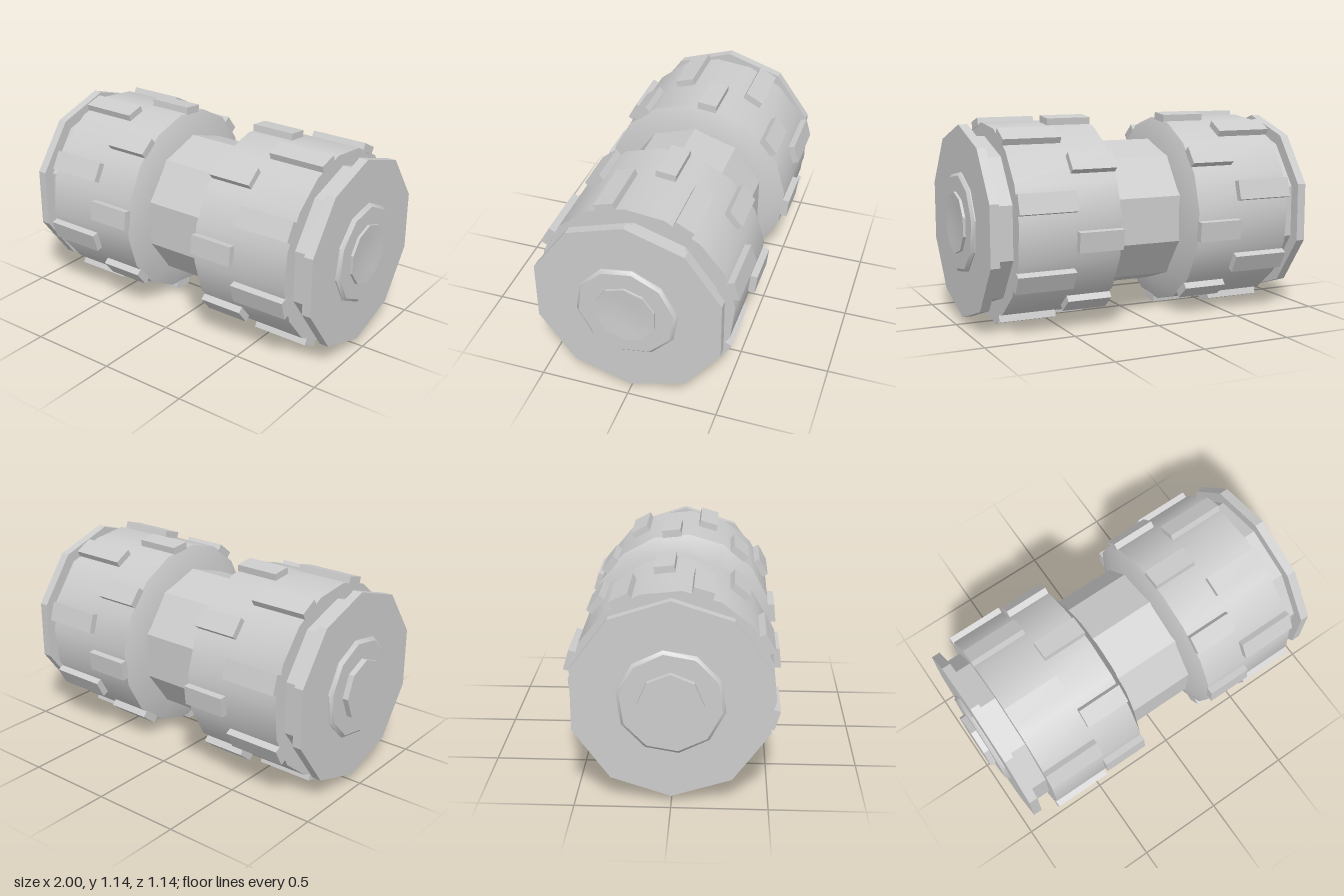
import * as THREE from 'three';
import { toCreasedNormals } from 'three/addons/utils/BufferGeometryUtils.js';

const AXIS_Y = 0.575;   // height of the roller's axis
const SHIFT = 0.008;    // small offset of the whole drum pair along x
const PADS = 16;
const PAD_ANGLE = THREE.MathUtils.degToRad(16.5);

export function createModel() {
  const model = new THREE.Group();
  const material = new THREE.MeshStandardMaterial({ color: 0xcccccc });

  // Solid of revolution about x; profile is [radius, x] pairs going outwards,
  // angle is the direction of the first corner
  function turned(name, profile, sides, angle, side = 1) {
    const points = profile.map(([r, x]) => new THREE.Vector2(r, x * side));
    if (side < 0) points.reverse();
    const lathe = new THREE.LatheGeometry(points, sides, angle + Math.PI);
    lathe.rotateZ(-Math.PI / 2);
    const mesh = new THREE.Mesh(toCreasedNormals(lathe, 0.5), material);
    mesh.name = name;
    return mesh;
  }

  // Raised tread block sitting on one facet of a drum
  function pad(name, x0, x1, angle) {
    const geometry = new THREE.BoxGeometry(x1 - x0, 0.045, 0.11);
    geometry.translate((x0 + x1) / 2, 0.545, 0);
    geometry.rotateX(angle - Math.PI / 2);
    // rotateX turns +y towards +z, so mirror the angle to run towards -z
    const mesh = new THREE.Mesh(geometry, material);
    mesh.name = name;
    return mesh;
  }

  // Narrow middle barrel
  const core = turned('core', [[0.415, -0.21], [0.415, 0.21]], 10, Math.PI / 2);
  model.add(core);

  for (const side of [1, -1]) {
    const end = new THREE.Group();
    end.name = side > 0 ? 'leftDrum' : 'rightDrum';

    // Large drum with a sloped inner shoulder
    end.add(turned('drum',
      [[0.34, 0.187], [0.41, 0.187], [0.54, 0.235], [0.54, 0.81], [0.3, 0.81]],
      PADS, PAD_ANGLE + Math.PI / PADS, side));

    // Recessed neck, end flange and hub
    end.add(turned('neck', [[0.467, 0.78], [0.467, 0.92]], 10, Math.PI / 2, side));
    end.add(turned('flange',
      [[0.3, 0.903], [0.533, 0.903], [0.533, 0.954], [0, 0.954]], 10, Math.PI / 2, side));
    end.add(turned('hub',
      [[0.282, 0.94], [0.282, 0.96], [0.265, 0.975], [0, 0.975]], 10, 1.43, side));

    // Centre cap: shallow dish on one end, flat on the other
    const capProfile = side > 0
      ? [[0.17, 0.96], [0.17, 0.99], [0.1, 0.985], [0, 0.978]]
      : [[0.17, 0.96], [0.17, 1.007], [0, 1.007]];
    end.add(turned('cap', capProfile, side > 0 ? 10 : 8, Math.PI / 2, side));

    // Two staggered rows of tread pads
    for (let i = 0; i < PADS; i++) {
      const angle = PAD_ANGLE + (i * 2 * Math.PI) / PADS;
      const inner = i % 2 === 1;
      const [a, b] = inner ? [0.233, 0.487] : [0.487, 0.813];
      end.add(pad(inner ? 'innerPad' : 'outerPad',
        side > 0 ? a : -b, side > 0 ? b : -a, angle));
    }
    model.add(end);
  }

  model.position.set(SHIFT, AXIS_Y, 0);
  const root = new THREE.Group();
  root.name = 'roller';
  root.add(model);
  return root;
}
